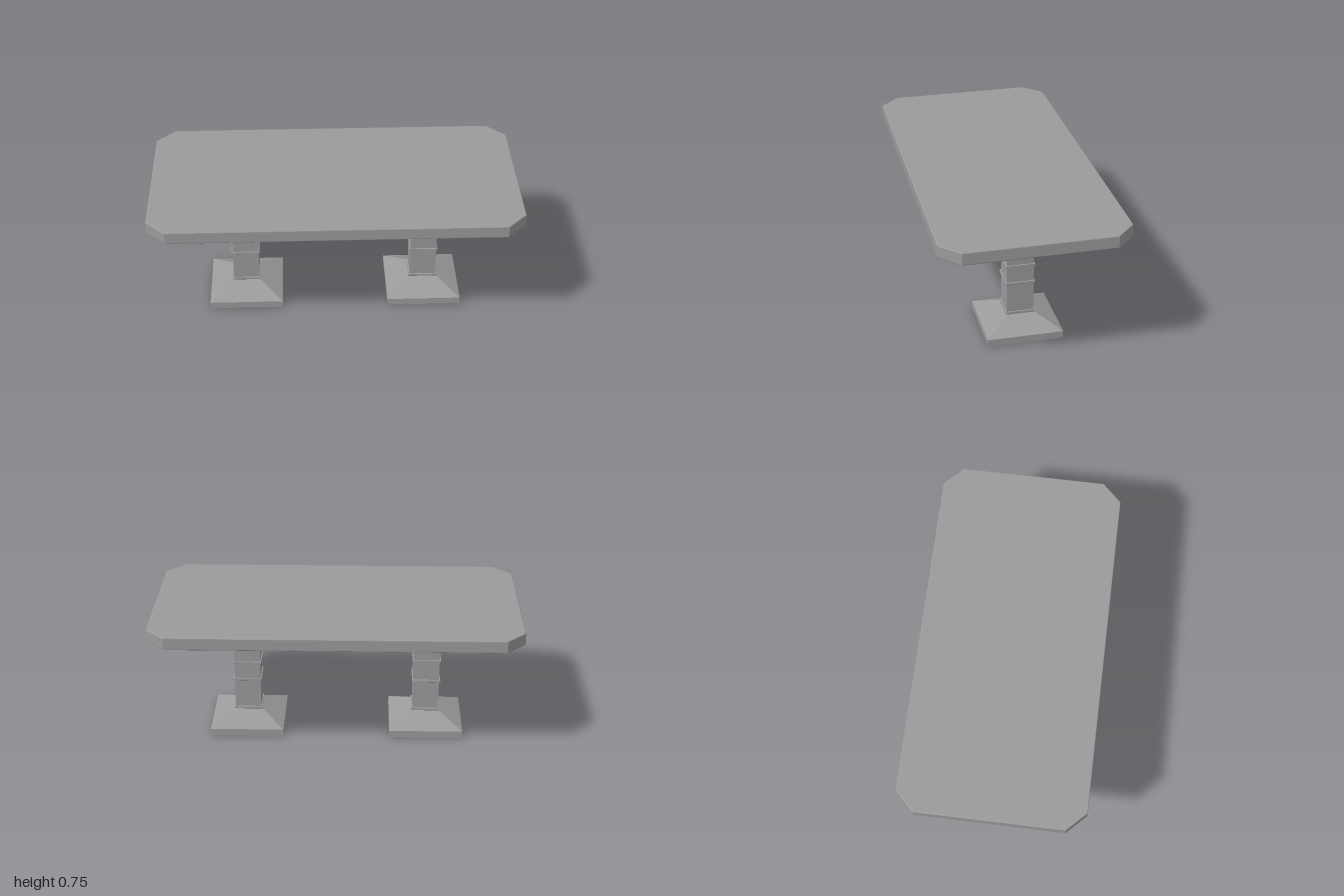
import * as THREE from 'three';

const material = new THREE.MeshStandardMaterial({ color: 0x9b9b9b, flatShading: true, side: THREE.DoubleSide });

function addMesh(parent, name, geometry) {
  const mesh = new THREE.Mesh(geometry, material);
  mesh.name = name;
  parent.add(mesh);
}

// Square section swept up a profile of [half width, height] points
function squareLoft(profile) {
  const points = profile.map(([half, y]) => new THREE.Vector2(half * Math.SQRT2, y));
  return new THREE.LatheGeometry(points, 4, Math.PI / 4);
}

// Thin square collar wrapped around the column
function collar(y) {
  const r = 0.079, h = 0.0065;
  return squareLoft([[0.072, y - h], [r - 0.001, y - h], [r, y - h + 0.001],
    [r, y + h - 0.001], [r - 0.001, y + h], [0.072, y + h]]);
}

function createPedestal(name, x, upperCollarY) {
  const pedestal = new THREE.Group();
  pedestal.name = name;
  // Hollow foot, open underneath
  addMesh(pedestal, 'foot', squareLoft([[0.205, 0], [0.205, 0.04], [0.079, 0.105]]));
  addMesh(pedestal, 'column', squareLoft([[0.0725, 0.105], [0.0725, 0.635]]));
  for (const y of [0.112, 0.291, upperCollarY, 0.629]) addMesh(pedestal, 'collar', collar(y));
  // Flared support under the top
  addMesh(pedestal, 'capital', squareLoft([[0.0725, 0.635], [0.082, 0.637], [0.15, 0.659], [0.24, 0.679]]));
  pedestal.position.x = x;
  return pedestal;
}

// Slab with cut corners and softly rounded edges
function createTabletop() {
  const bevel = 0.006, x = 1 - bevel, z = 0.5 - bevel, cut = 0.1;
  const outline = [[-x + cut, -z], [x - cut, -z], [x, -z + cut], [x, z - cut],
    [x - cut, z], [-x + cut, z], [-x, z - cut], [-x, -z + cut]];
  const shape = new THREE.Shape(outline.map(([a, b]) => new THREE.Vector2(a, b)));
  const geometry = new THREE.ExtrudeGeometry(shape, {
    depth: 0.071 - 2 * bevel, bevelSize: bevel, bevelThickness: bevel, bevelSegments: 3,
  });
  geometry.rotateX(-Math.PI / 2);
  geometry.translate(0, 0.678 + bevel, 0);
  return geometry;
}

export function createModel() {
  const table = new THREE.Group();
  table.name = 'table';
  addMesh(table, 'tabletop', createTabletop());
  table.add(createPedestal('leftPedestal', 0.502, 0.394));
  table.add(createPedestal('rightPedestal', -0.502, 0.415));
  return table;
}
